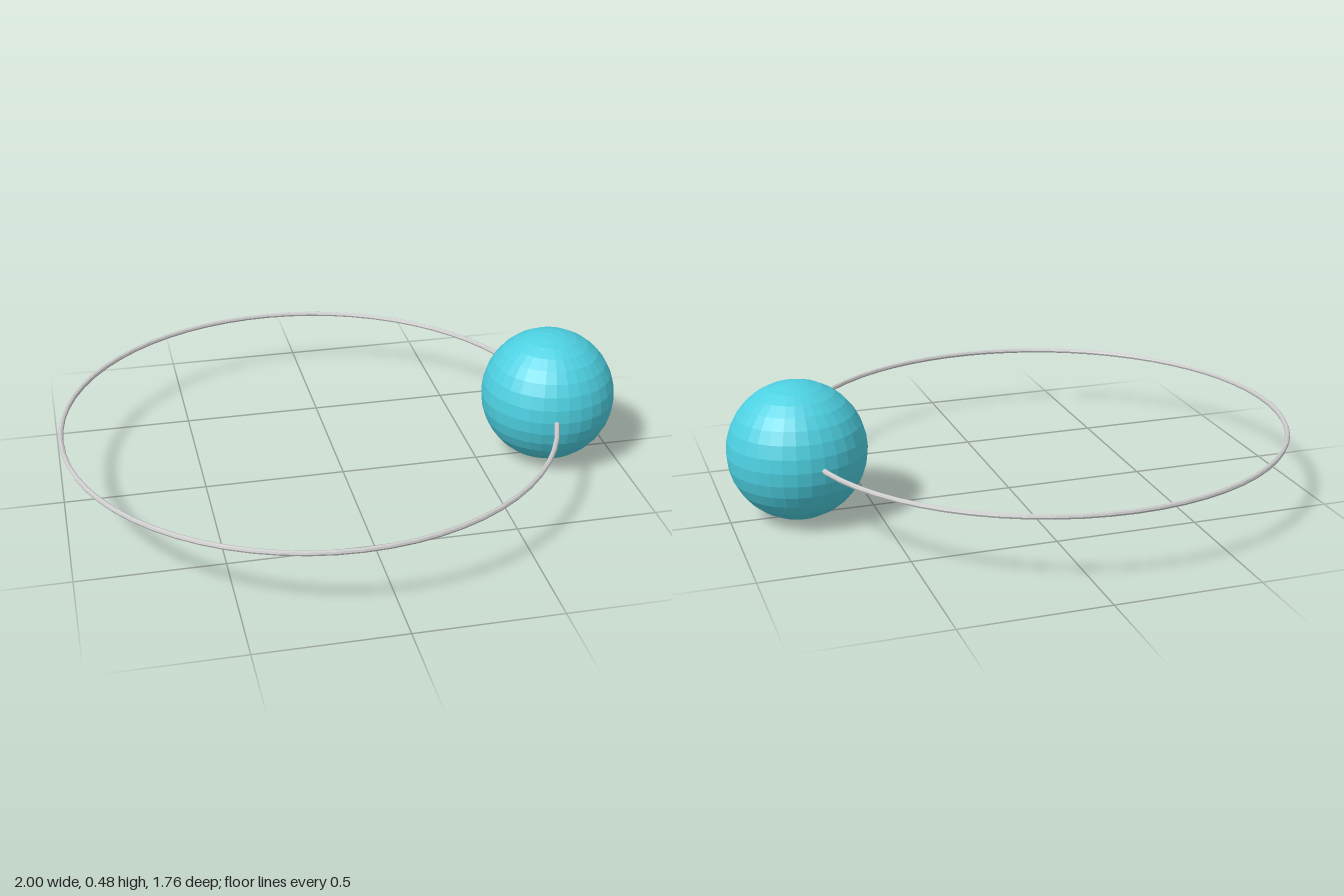
import * as THREE from 'three';

export function createModel() {
  const group = new THREE.Group();
  const ballRadius = 0.24, ringRadius = 0.87, wire = 0.009;

  // Faceted ball at the left end
  const ball = new THREE.Mesh(
    new THREE.SphereGeometry(ballRadius, 32, 16),
    new THREE.MeshStandardMaterial({ color: 0x4dd0e1, flatShading: true })
  );
  ball.name = 'ball';
  ball.position.set(1 - ballRadius, ballRadius, 0);

  // Thin level ring passing through the ball
  const ring = new THREE.Mesh(
    new THREE.TorusGeometry(ringRadius, wire, 8, 64),
    new THREE.MeshStandardMaterial({ color: 0xcccccc, flatShading: true })
  );
  ring.name = 'ring';
  ring.rotation.x = Math.PI / 2;
  ring.position.set(-1 + ringRadius + wire, ballRadius, 0);

  group.add(ball, ring);
  return group;
}
